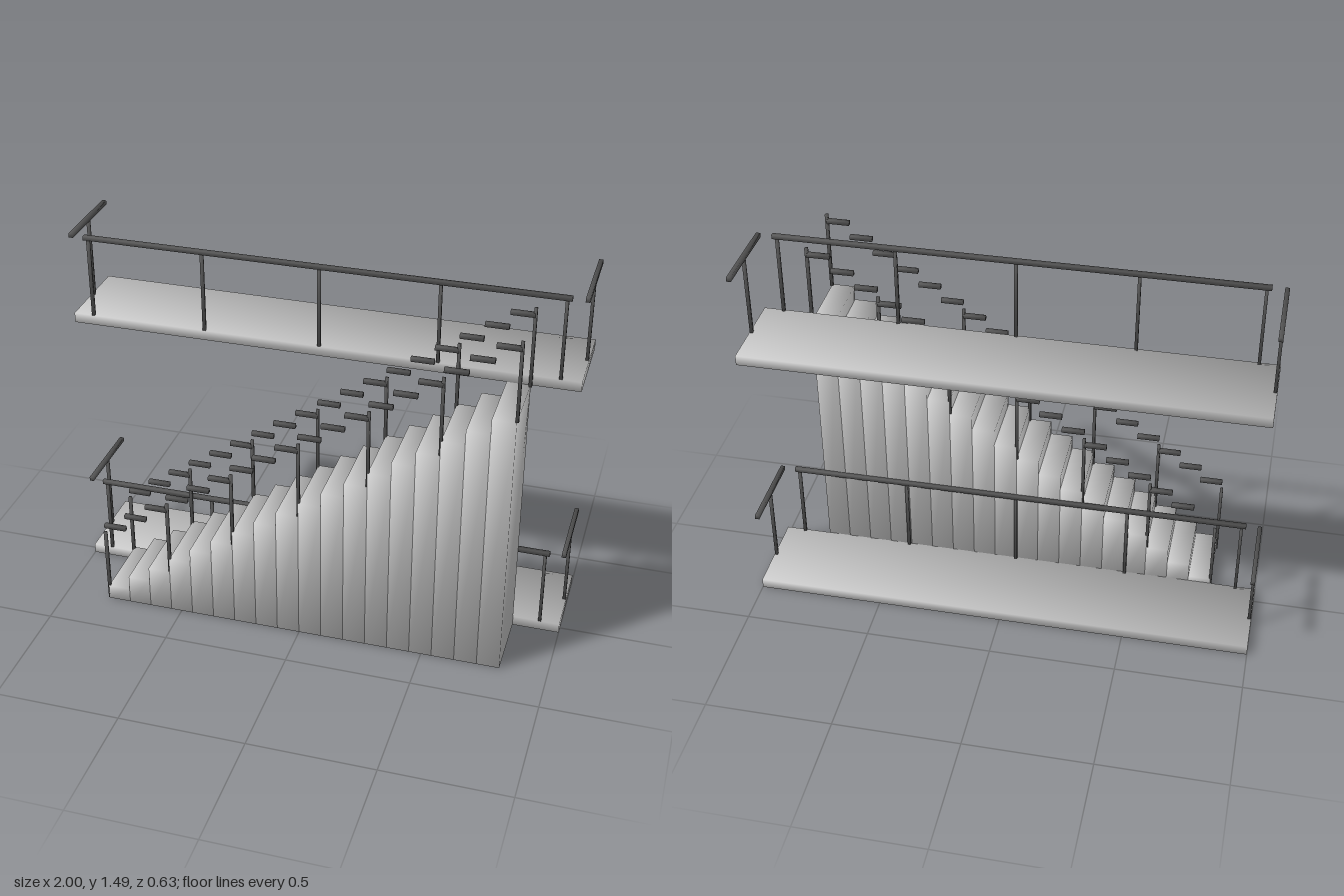
import * as THREE from 'three';

const slabMaterial = new THREE.MeshStandardMaterial({ color: 0xcccccc });
const railMaterial = new THREE.MeshStandardMaterial({ color: 0x5a5a5a });

// Box given by its limits; its normals point out through the corners for soft shading
function block(name, x0, x1, y0, y1, z0, z1, material) {
  const geometry = new THREE.BoxGeometry(x1 - x0, y1 - y0, z1 - z0);
  const { position, normal } = geometry.attributes;
  const n = new THREE.Vector3();
  for (let i = 0; i < position.count; i++) {
    n.set(Math.sign(position.getX(i)), Math.sign(position.getY(i)), Math.sign(position.getZ(i))).normalize();
    normal.setXYZ(i, n.x, n.y, n.z);
  }
  const mesh = new THREE.Mesh(geometry, material);
  mesh.name = name;
  mesh.position.set((x0 + x1) / 2, (y0 + y1) / 2, (z0 + z1) / 2);
  return mesh;
}

const POST = 0.006, RAIL = 0.0085;

// Square upright
function post(name, x, y0, y1, z) {
  return block(name, x - POST, x + POST, y0, y1, z - POST, z + POST, railMaterial);
}

// Square rail along x
function railX(name, x0, x1, y, z) {
  return block(name, x0, x1, y - RAIL, y + RAIL, z - RAIL, z + RAIL, railMaterial);
}

// Square rail along z
function railZ(name, x, y, z0, z1) {
  return block(name, x - RAIL, x + RAIL, y - RAIL, y + RAIL, z0, z1, railMaterial);
}

const STEPS = 18, X0 = -0.815, RUN = 1.628 / STEPS, RISE = 1.11 / STEPS;
const BACK = -0.316, MIDDLE = 0.031, FRONT = 0.316;

// Walkway with a front railing and a short railing at each end
function createDeck(name, y) {
  const deck = new THREE.Group();
  deck.name = name;
  const floor = y + 0.04, top = y + 0.369, z = 0.025;
  deck.add(block('deckSlab', -1, 1, y, floor, BACK, MIDDLE, slabMaterial));
  deck.add(railX('frontRail', -0.938, 0.938, top, z));
  for (let i = -2; i <= 2; i++) deck.add(post('frontPost', i * 0.46, floor, top, z));
  for (const side of [-1, 1]) {
    const x = side * 0.992;
    deck.add(railZ('endRail', x, top, -0.311, 0.024));
    deck.add(post('endPost', x, floor, top, -0.147));
  }
  return deck;
}

// Solid steps reaching the ground
function createStairs() {
  const stairs = new THREE.Group();
  stairs.name = 'stairs';
  for (let i = 0; i < STEPS; i++) {
    const x = X0 + i * RUN;
    stairs.add(block('step', x, x + RUN, 0, (i + 1) * RISE, MIDDLE, FRONT, slabMaterial));
  }
  return stairs;
}

// Stepped handrail: one short bar per step, one post every third step
function createHandrail(name, z) {
  const handrail = new THREE.Group();
  handrail.name = name;
  for (let i = 0; i < STEPS; i++) {
    const x = X0 + i * RUN;
    handrail.add(railX('handrailBar', x, x + RUN, 0.356 + i * RISE, z));
  }
  for (let i = 0; i <= STEPS; i += 3) {
    const y = i * RISE;
    handrail.add(post('handrailPost', X0 + i * RUN, y, y + 0.323, z));
  }
  return handrail;
}

export function createModel() {
  const model = new THREE.Group();
  model.name = 'staircaseWithDecks';
  model.add(
    createDeck('lowerDeck', 0),
    createDeck('upperDeck', 1.11),
    createStairs(),
    createHandrail('frontHandrail', 0.307),
    createHandrail('backHandrail', 0.041),
  );
  return model;
}
